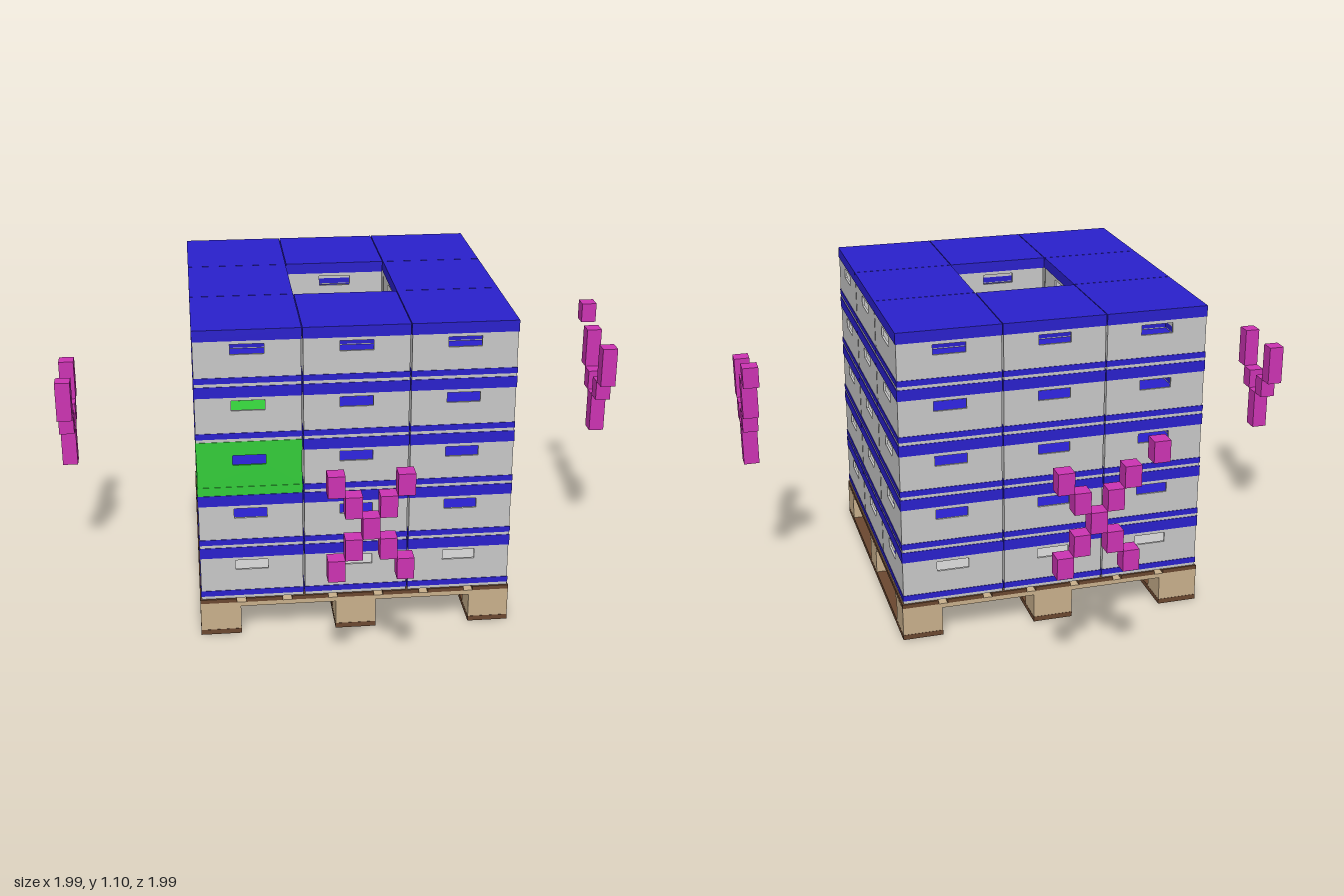
import * as THREE from 'three';

const mat = (name, color) => {
  const m = new THREE.MeshStandardMaterial({ color });
  m.name = name;
  return m;
};

export function createModel() {
  const M = {
    grey: mat('crateGrey', 0xc8c8c8),
    blue: mat('trimBlue', 0x2a20cc),
    green: mat('highlightGreen', 0x33cc3a),
    pink: mat('markerMagenta', 0xcc33b3),
    tan: mat('lightWood', 0xc9b08c),
    brown: mat('darkWood', 0x6b4830),
  };
  const add = (parent, name, geo, material, x = 0, y = 0, z = 0, ry = 0) => {
    const m = new THREE.Mesh(geo, material);
    m.name = name;
    m.position.set(x, y, z);
    m.rotation.y = ry;
    parent.add(m);
    return m;
  };
  const group = (parent, name) => {
    const g = new THREE.Group();
    g.name = name;
    parent.add(g);
    return g;
  };
  const box = (w, h, d) => new THREE.BoxGeometry(w, h, d);
  const rect = (T, w, h, cx = 0, cy = 0) => new T([
    new THREE.Vector2(cx - w / 2, cy - h / 2), new THREE.Vector2(cx + w / 2, cy - h / 2),
    new THREE.Vector2(cx + w / 2, cy + h / 2), new THREE.Vector2(cx - w / 2, cy + h / 2),
  ]);
  const frame = (outer, inner, h) => {
    const s = rect(THREE.Shape, outer, outer);
    s.holes.push(rect(THREE.Path, inner, inner));
    return new THREE.ExtrudeGeometry(s, { depth: h, bevelEnabled: false }).rotateX(-Math.PI / 2);
  };

  const model = new THREE.Group();
  model.name = 'palletLoad';
  const root = group(model, 'turnedLoad');
  root.position.set(0.01, 0, 0.02);
  root.rotation.y = -0.02;

  // Pallet: bottom boards, blocks, cross boards and deck
  const pallet = group(root, 'pallet');
  for (const x of [-0.463, 0, 0.463]) {
    add(pallet, 'bottomBoard', box(0.139, 0.018, 1.065), M.brown, x, 0.009, 0);
    for (const z of [-0.478, 0, 0.478])
      add(pallet, 'palletBlock', box(0.138, 0.086, 0.107), M.tan, x, 0.061, z);
  }
  for (const z of [-0.469, 0, 0.469])
    add(pallet, 'crossBoard', box(1.065, 0.016, 0.125), M.tan, 0, 0.112, z);
  for (let i = -3; i <= 3; i++)
    add(pallet, 'deckBoard', box(0.125, 0.014, 1.065), M.brown, i * 0.1565, 0.127, 0);

  // Shared crate parts
  const H = 0.193, PITCH = 0.3535, OUT = 0.351, BODY = 0.347, T = 0.008;
  const side = rect(THREE.Shape, BODY, 0.124, 0, 0.093);
  side.holes.push(rect(THREE.Path, 0.11, 0.035, 0, 0.126));
  const wallGeo = new THREE.ExtrudeGeometry(side, { depth: T, bevelEnabled: false });
  const baseGeo = frame(BODY, BODY - 2 * T, 0.011);
  const bandGeo = frame(OUT, BODY - 2 * T, 0.02);
  const rimGeo = frame(OUT, BODY - 2 * T, 0.038);
  const floorGeo = box(BODY - 2 * T, 0.004, BODY - 2 * T);
  const lidGeo = box(OUT, 0.038, OUT);

  const isGreen = (layer, i, k) => layer === 2 && i === -1 && k === 1;
  function crate(layer, i, k) {
    const g = group(root, 'crate');
    g.position.set(i * PITCH, 0.135 + layer * H, k * PITCH);
    const body = isGreen(layer, i, k) ? M.green : M.grey;
    const trim = isGreen(layer, i, k) ? M.green : M.blue;
    add(g, 'crateBase', baseGeo, body);
    add(g, 'crateFloor', floorGeo, body, 0, 0.002, 0);
    if (layer > 0)
      add(g, 'floorLiner', floorGeo, isGreen(layer - 1, i, k) ? M.green : M.blue, 0, 0.006, 0);
    add(g, 'lowerBand', bandGeo, trim, 0, 0.011, 0);
    for (let s = 0; s < 4; s++) {
      const a = s * Math.PI / 2, r = BODY / 2 - T;
      add(g, 'crateWall', wallGeo, body, Math.sin(a) * r, 0, Math.cos(a) * r, a);
    }
    if (layer === 4) add(g, 'crateLid', lidGeo, trim, 0, 0.174, 0);
    else add(g, 'crateRim', rimGeo, trim, 0, 0.155, 0);
  }
  // Five layers of eight crates around an open shaft
  for (let layer = 0; layer < 5; layer++)
    for (let i = -1; i <= 1; i++)
      for (let k = -1; k <= 1; k++)
        if (i || k) crate(layer, i, k);

  // Floating clusters of small blocks, one on each side
  const crossed = [[0, 4], [1, 3], [2], [1, 3], [0, 4]];
  const forked = [[0, 4], [0, 4], [1, 3], [2], [2]];
  const W = 0.0535, BH = 0.0712;
  const blockGeo = box(W, BH, W);
  function cluster(rows, x, y, z, turn, extra) {
    const g = group(root, 'markerCluster');
    g.position.set(x, y, z);
    g.rotation.y = turn;
    rows.forEach((cols, r) => cols.forEach((c) =>
      add(g, 'markerBlock', blockGeo, M.pink, (c - 2) * W, (4.5 - r) * BH, 0)));
    if (extra) add(g, 'markerBlock', blockGeo, M.pink, 0.198, 5.5 * BH, 0);
  }
  cluster(crossed, -0.005, 0.42, 0.943, 0, false);
  cluster(forked, 0.955, 0.49, 0.01, Math.PI / 2, true);
  cluster(crossed, 0.006, 0.42, -0.988, Math.PI, true);
  cluster(forked, -0.98, 0.427, -0.018, -Math.PI / 2, false);

  return model;
}
